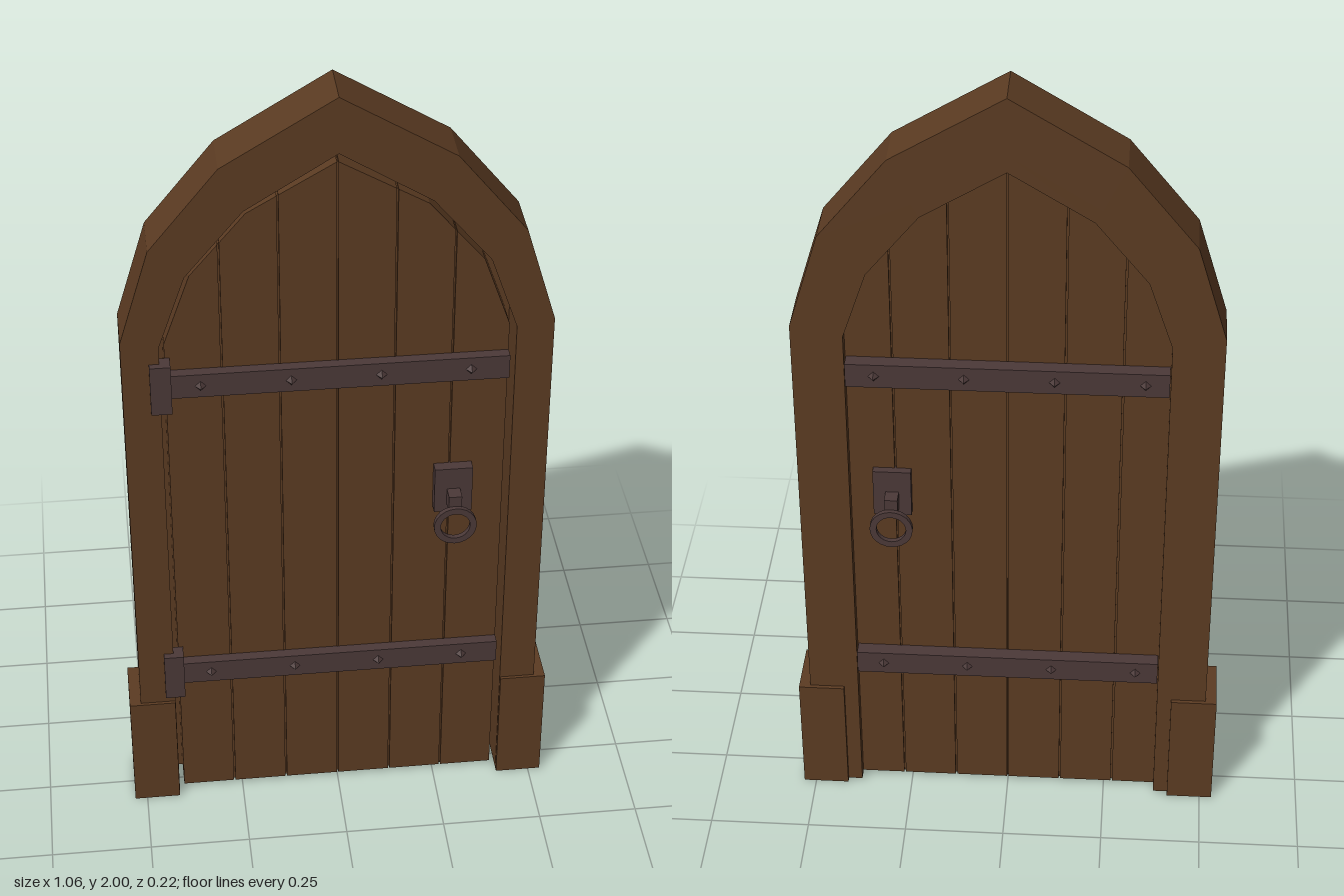
import * as THREE from 'three';

const wood = new THREE.MeshStandardMaterial({ color: 0x5b3b22 });
wood.name = 'brown wood';
const iron = new THREE.MeshStandardMaterial({ color: 0x4b3938 });
iron.name = 'dark iron';

// Right halves of the arch outlines, springing line to apex
const OUTER = [[0.503, 1.4], [0.43, 1.64], [0.267, 1.84], [0, 2]];
const INNER = [[0.415, 1.383], [0.35, 1.568], [0.214, 1.73], [0, 1.862]];
const STOP = [[0.38, 1.375], [0.322, 1.545], [0.197, 1.698], [0, 1.818]];
const LEAF = [[0.402, 1.378], [0.338, 1.557], [0.207, 1.711], [0, 1.83]];

const DOOR_FRONT = 0.036, DOOR_BACK = -0.045;

function addMesh(parent, name, geometry, material) {
  const mesh = new THREE.Mesh(geometry, material);
  mesh.name = name;
  parent.add(mesh);
  return mesh;
}

function addGroup(parent, name) {
  const group = new THREE.Group();
  group.name = name;
  parent.add(group);
  return group;
}

// Box given by its min and max on each axis
function addBox(parent, name, [x0, x1], [y0, y1], [z0, z1], material) {
  const mesh = addMesh(parent, name, new THREE.BoxGeometry(x1 - x0, y1 - y0, z1 - z0), material);
  mesh.position.set((x0 + x1) / 2, (y0 + y1) / 2, (z0 + z1) / 2);
  return mesh;
}

// Flat outline extruded from z0 to z1
function prism(points, z0, z1) {
  const shape = new THREE.Shape(points.map(([x, y]) => new THREE.Vector2(x, y)));
  const geometry = new THREE.ExtrudeGeometry(shape, { depth: z1 - z0, bevelEnabled: false });
  return geometry.translate(0, 0, z0);
}

// Jamb and arch blocks between two outlines, on both sides
function addArch(parent, name, outer, inner, z0, z1, bottom) {
  const out = [[outer[0][0], bottom], ...outer];
  const inn = [[inner[0][0], bottom], ...inner];
  for (const side of [1, -1]) {
    for (let i = 0; i < out.length - 1; i++) {
      const quad = [out[i], out[i + 1], inn[i + 1], inn[i]].map(([x, y]) => [x * side, y]);
      addMesh(parent, name + (i === 0 ? 'Jamb' : 'ArchBlock'), prism(quad, z0, z1), wood);
    }
  }
}

// Height of the door leaf's arched top at x
function leafTop(x) {
  const a = Math.abs(x);
  for (let i = 0; i < LEAF.length - 1; i++) {
    const [x0, y0] = LEAF[i], [x1, y1] = LEAF[i + 1];
    if (a >= x1) return y0 + (y1 - y0) * (x0 - a) / (x0 - x1);
  }
  return LEAF[LEAF.length - 1][1];
}

// Door leaf of six planks cut to the arch, outlined from x0 to x1
function plankOutline(x0, x1) {
  const corners = LEAF.flatMap(([x]) => [x, -x]).filter((x) => x > x0 + 0.001 && x < x1 - 0.001);
  const tops = [x1, ...corners.sort((a, b) => b - a), x0].map((x) => [x, leafTop(x)]);
  return [[x0, 0.01], [x1, 0.01], ...tops];
}

function addLeaf(parent) {
  const leaf = addGroup(parent, 'doorLeaf');
  const edges = [-0.402, -0.27, -0.135, 0, 0.135, 0.27, 0.402];
  const gap = 0.002;
  for (let i = 0; i < 6; i++) {
    const x0 = edges[i] + (i > 0 ? gap : 0);
    const x1 = edges[i + 1] - (i < 5 ? gap : 0);
    addMesh(leaf, 'plank', prism(plankOutline(x0, x1), DOOR_BACK, DOOR_FRONT), wood);
  }
  // Core that closes the grooves between planks
  addMesh(leaf, 'plankCore', prism(plankOutline(-0.395, 0.395), DOOR_BACK + 0.008, DOOR_FRONT - 0.008), wood)
    .scale.y = 0.998;
}

// Iron straps with pointed studs on both faces, hinge knuckles in front
function addStraps(parent) {
  for (const y of [1.275, 0.409]) {
    const band = addGroup(parent, 'hingeStrap');
    const height = [y - 0.031, y + 0.031];
    addBox(band, 'frontStrap', [-0.4, 0.402], height, [DOOR_FRONT, 0.063], iron);
    addBox(band, 'backStrap', [-0.378, 0.378], height, [-0.081, DOOR_BACK], iron);
    addBox(band, 'hingeKnuckle', [-0.439, -0.39], [y - 0.065, y + 0.065], [DOOR_FRONT, 0.077], iron);
    for (const x of [-0.322, -0.111, 0.1, 0.311]) {
      for (const side of [1, -1]) {
        const cone = new THREE.ConeGeometry(0.013, 0.017, 4).toNonIndexed();
        cone.computeVertexNormals();
        cone.rotateX(side * Math.PI / 2);
        const stud = addMesh(band, 'stud', cone, iron);
        stud.position.set(x, y, side > 0 ? 0.0715 : -0.0895);
      }
    }
  }
}

// Ring handle: plate, boss and hanging ring
function addHandle(parent, side) {
  const handle = addGroup(parent, side > 0 ? 'frontHandle' : 'backHandle');
  const span = (a, b) => (side > 0 ? [a, b] : [-b, -a]);
  addBox(handle, 'handlePlate', [0.232, 0.324], [0.865, 0.99], span(0.03, 0.064), iron);
  addBox(handle, 'handleBoss', [0.262, 0.294], [0.888, 0.932], span(0.06, 0.1), iron);
  const ring = new THREE.Shape();
  const hole = new THREE.Path();
  ring.absarc(0, 0, 0.052, 0, Math.PI * 2, false);
  hole.absarc(0, 0, 0.036, 0, Math.PI * 2, true);
  ring.holes.push(hole);
  const geometry = new THREE.ExtrudeGeometry(ring, { depth: 0.013, bevelEnabled: false, curveSegments: 12 });
  const mesh = addMesh(handle, 'handleRing', geometry, iron);
  mesh.position.set(0.278, 0.853, side > 0 ? 0.098 : -0.111);
}

export function createModel() {
  const door = new THREE.Group();
  door.name = 'archedDoor';

  // Outer frame, with a narrower stop behind the leaf
  const frame = addGroup(door, 'frame');
  addArch(frame, 'frame', OUTER, INNER, -0.072, 0.06, 0.005);
  addArch(frame, 'stop', INNER, STOP, -0.072, DOOR_BACK, 0.005);

  // Plinth blocks at the feet of the jambs
  for (const side of [1, -1]) {
    const block = addBox(frame, 'plinthBlock', [0.416, 0.531], [0, 0.318], [-0.082, 0.068], wood);
    block.position.x *= side;
  }

  addLeaf(door);
  addStraps(door);
  addHandle(door, 1);
  addHandle(door, -1);
  return door;
}
